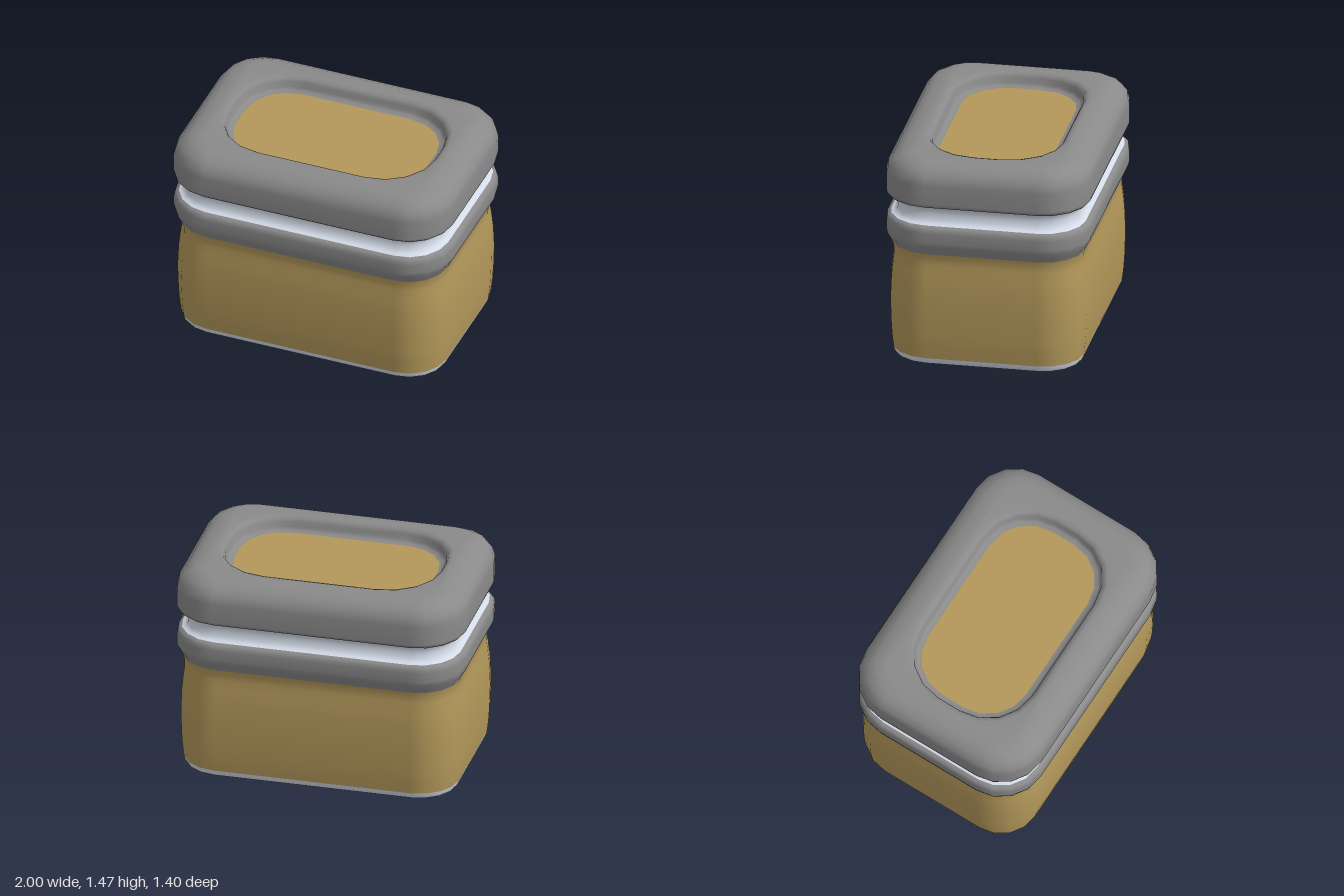
import * as THREE from 'three';

const CORNER_STEPS = 4;
const OUTER = [0.68, 0.38]; // corner centres of the outer walls
const INNER = [0.385, 0.085]; // corner centres of the lid recess

// One rounded-rectangle ring: height y, corner radius r, blend t from outer to
// inner corner centres, s = 0 collapses the ring to its middle.
function ring([y, r, t = 0, s = 1]) {
  const cx = THREE.MathUtils.lerp(OUTER[0], INNER[0], t);
  const cz = THREE.MathUtils.lerp(OUTER[1], INNER[1], t);
  const points = [];
  for (let q = 0; q < 4; q++) {
    const sx = q === 0 || q === 3 ? 1 : -1;
    const sz = q < 2 ? 1 : -1;
    for (let k = 0; k <= CORNER_STEPS; k++) {
      const a = (q + k / CORNER_STEPS) * Math.PI / 2;
      points.push(s * (sx * cx + r * Math.cos(a)), y, s * (sz * cz + r * Math.sin(a)));
    }
  }
  return points;
}

// Smooth skin through a stack of rings.
function loft(name, material, rows) {
  const n = 4 * (CORNER_STEPS + 1);
  const index = [];
  for (let i = 0; i < rows.length - 1; i++) {
    for (let j = 0; j < n; j++) {
      const k = (j + 1) % n;
      const a = i * n + j, b = a + n, c = i * n + k, d = c + n;
      index.push(a, b, c, b, d, c);
    }
  }
  const geometry = new THREE.BufferGeometry();
  geometry.setAttribute('position', new THREE.Float32BufferAttribute(rows.flatMap(ring), 3));
  geometry.setIndex(index);
  geometry.computeVertexNormals();
  const mesh = new THREE.Mesh(geometry, material);
  mesh.name = name;
  return mesh;
}

export function createModel() {
  const paint = (color) => new THREE.MeshStandardMaterial({ color, side: THREE.DoubleSide });
  const grey = paint(0x8a8a8a);
  const gold = paint(0xb3985a);
  const glass = paint(0xd3dbe8);
  const group = new THREE.Group();
  group.name = 'jar';

  group.add(
    // flat underside with a small rounded edge
    loft('base', glass, [
      [0, 0.2, 0, 0], [0, 0.225], [0, 0.24], [0.01, 0.257], [0.028, 0.267], [0.05, 0.272],
    ]),
    // gently bulging wall
    loft('body', gold, [
      [0.05, 0.272], [0.13, 0.282], [0.22, 0.288], [0.4, 0.294], [0.57, 0.287],
      [0.66, 0.277], [0.73, 0.268], [0.77, 0.268], [0.81, 0.277],
    ]),
    // swelling shoulder band
    loft('shoulderBand', grey, [
      [0.81, 0.277], [0.84, 0.292], [0.88, 0.314], [0.91, 0.32], [0.975, 0.32],
      [1.0, 0.314], [1.014, 0.303], [1.022, 0.285],
    ]),
    // concave groove under the lid
    loft('neck', glass, [
      [1.022, 0.285], [1.03, 0.265], [1.05, 0.247], [1.09, 0.238], [1.125, 0.243],
      [1.148, 0.26], [1.157, 0.285],
    ]),
    // lid, rolling over the top and down into the recess
    loft('lid', grey, [
      [1.157, 0.285], [1.16, 0.303], [1.172, 0.316], [1.19, 0.32], [1.32, 0.32],
      [1.375, 0.306], [1.422, 0.268], [1.452, 0.21], [1.465, 0.14],
      [1.465, 0.4, 1], [1.455, 0.37, 1], [1.43, 0.356, 1], [1.395, 0.35, 1],
      [1.375, 0.335, 1], [1.37, 0.305, 1],
    ]),
    // inlay on the floor of the recess
    loft('lidPanel', gold, [[1.37, 0.305, 1], [1.37, 0.3, 1, 0]]),
  );
  return group;
}
